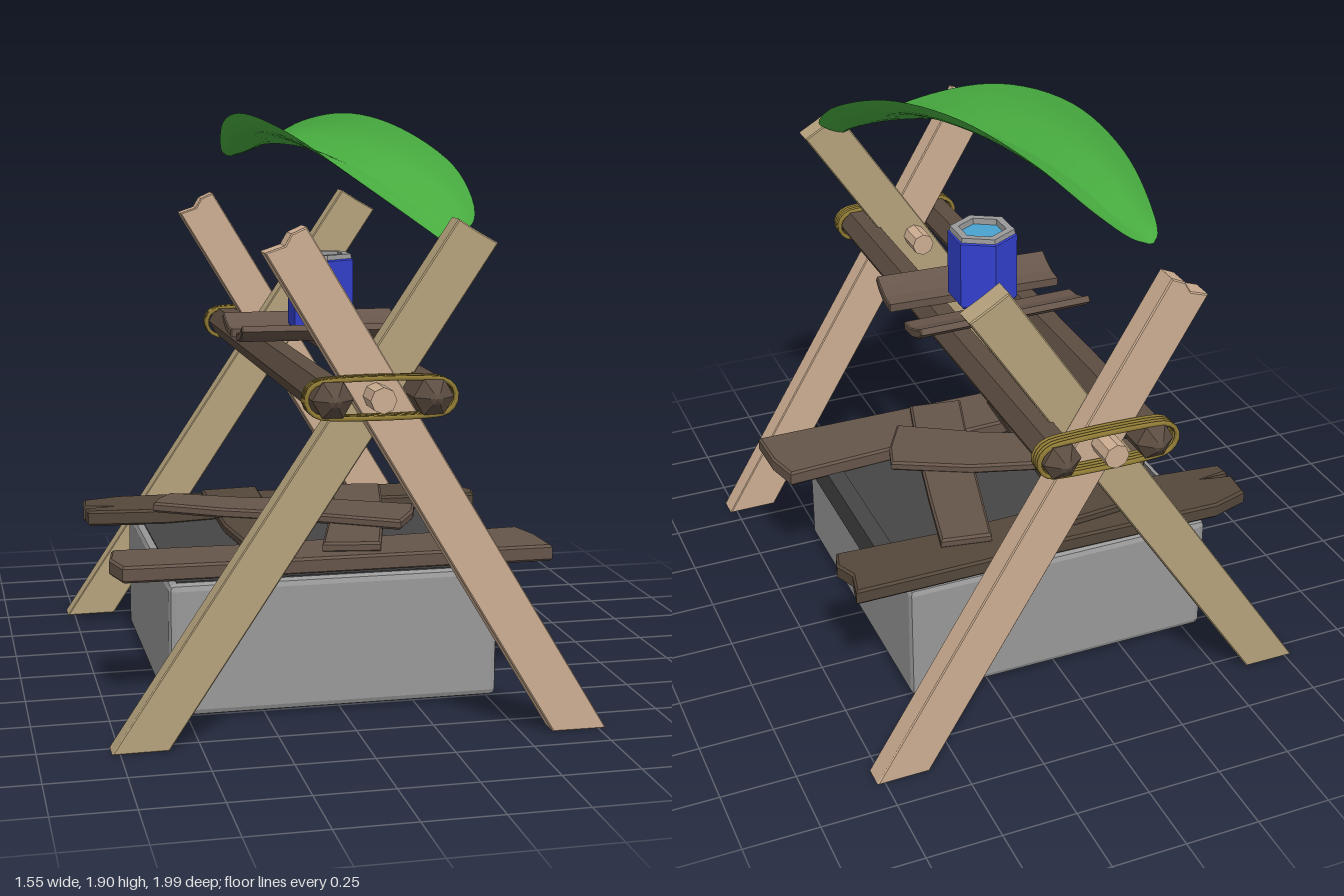
import * as THREE from 'three';
import { RoundedBoxGeometry } from 'three/addons/geometries/RoundedBoxGeometry.js';

const mat = (color, extra = {}) =>
  new THREE.MeshStandardMaterial({ color, flatShading: true, ...extra });
const paleWood = mat(0xcdae92), oliveWood = mat(0xb5a27c);
const darkWood = mat(0x54473a), brownWood = mat(0x66554a), poleWood = mat(0x5c4d41);
const stone = mat(0x999999), darkStone = mat(0x454545);
const ropeMat = mat(0x8f7a35, { flatShading: false });
const blue = mat(0x3341d0), water = mat(0x4aa3cf);
const leafMat = mat(0x48ad40, { flatShading: false, side: THREE.DoubleSide });

export function createModel() {
  const model = new THREE.Group();
  const add = (name, geometry, material, parent = model) => {
    const mesh = new THREE.Mesh(geometry, material);
    mesh.name = name;
    parent.add(mesh);
    return mesh;
  };
  const extrude = (points, depth, bevel = 0) => {
    const shape = new THREE.Shape(points.map(([x, y]) => new THREE.Vector2(x, y)));
    const g = new THREE.ExtrudeGeometry(shape, {
      depth: depth - 2 * bevel, bevelEnabled: bevel > 0, bevelThickness: bevel,
      bevelSize: bevel, bevelOffset: -bevel, bevelSegments: 1,
    });
    return g.translate(0, 0, bevel);
  };
  // flat slab from an outline in x, z
  const slab = (outline, y, height) =>
    extrude(outline.map(([x, z]) => [x, -z]), height, 0.008).rotateX(-Math.PI / 2).translate(0, y, 0);

  // stone base with dark top and side bar
  add('baseBlock', new RoundedBoxGeometry(1.085, 0.435, 1.085, 1, 0.022), stone).position.set(-0.017, 0.2275, 0);
  add('baseTop', new THREE.BoxGeometry(1.03, 0.01, 1.03), darkStone).position.set(-0.017, 0.444, 0);
  add('baseSideBar', new THREE.BoxGeometry(0.06, 0.11, 0.78), darkStone).position.set(0.52, 0.399, 0);

  // loose planks piled on the base
  add('backPlank', slab([[-0.73, -0.5], [-0.6, -0.54], [0, -0.53], [0.2, -0.545], [0.71, -0.545], [0.69, -0.45],
    [0.72, -0.38], [0.7, -0.31], [0.3, -0.33], [-0.2, -0.32], [-0.45, -0.28], [-0.73, -0.31], [-0.735, -0.365],
    [-0.63, -0.375], [-0.74, -0.39]], 0.445, 0.055), darkWood);
  add('frontPlank', slab([[-0.71, 0.26], [-0.3, 0.27], [0.2, 0.25], [0.69, 0.22], [0.72, 0.34], [0.725, 0.5],
    [0.2, 0.5], [-0.3, 0.5], [-0.7, 0.49], [-0.73, 0.38]], 0.445, 0.055), brownWood);
  add('crossPlank', slab([[-0.3, -0.45], [-0.09, -0.47], [-0.11, -0.1], [-0.14, 0.41], [-0.28, 0.4], [-0.31, 0.1]],
    0.495, 0.035), darkWood);
  add('slantedPlank', slab([[0.2, -0.45], [0.37, -0.42], [0.31, -0.15], [0.25, 0.1], [0.15, 0.46], [-0.04, 0.43],
    [0.07, 0.05]], 0.495, 0.035), brownWood);
  add('topPlank', slab([[-0.44, -0.29], [-0.2, -0.17], [0.12, -0.07], [0.37, 0.06], [0.34, 0.16], [0.26, 0.3],
    [0, 0.14], [-0.3, 0.0], [-0.52, -0.14], [-0.5, -0.2]], 0.525, 0.035), brownWood);

  // crossed legs, pegs and rope lashings at both ends
  const outer = [[0.6, 0], [0.775, 0], [-0.19, 1.595], [-0.235, 1.575], [-0.255, 1.54], [-0.315, 1.52]];
  const inner = [[-0.6, 0], [-0.775, 0], [0.295, 1.605], [0.35, 1.57], [0.42, 1.53]];
  for (const s of [1, -1]) {
    const end = new THREE.Group();
    end.name = s > 0 ? 'frontEnd' : 'backEnd';
    model.add(end);
    add('outerLeg', extrude(outer, 0.08, 0.004), paleWood, end).position.z = s * 0.85 - 0.04;
    add('innerLeg', extrude(inner, 0.08, 0.004), oliveWood, end).position.z = s * 0.77 - 0.04;
    const peg = add('peg', new THREE.CylinderGeometry(0.04, 0.04, 0.355, 8), paleWood, end);
    peg.rotation.x = Math.PI / 2;
    peg.position.set(0.02, 1.09, s * 0.81);
    for (let i = 0; i < 4; i++) {
      const pts = [];
      for (let k = 0; k < 16; k++) {
        const a = (k + 0.5) / 16 * Math.PI * 2 - Math.PI / 2;
        const cx = k < 8 ? 0.195 : -0.145;
        pts.push(new THREE.Vector3(cx + Math.cos(a) * 0.058, 1.09 + Math.sin(a) * 0.054,
          s * (0.9 + i * 0.014) + (k < 8 ? 0.003 : -0.003)));
      }
      const path = new THREE.CatmullRomCurve3(pts, true, 'centripetal');
      add('ropeLoop', new THREE.TubeGeometry(path, 48, 0.008, 6, true), ropeMat, end);
    }
  }

  // hexagonal poles with pointed ends
  for (const x of [-0.125, 0.182]) {
    const profile = [[0, -0.995], [0.02, -0.985], [0.062, -0.95], [0.062, 0.95], [0.02, 0.985], [0, 0.995]];
    const g = new THREE.LatheGeometry(profile.map(([r, y]) => new THREE.Vector2(r, y)), 6);
    add('pole', g.rotateY(Math.PI / 2).rotateX(Math.PI / 2), poleWood).position.set(x, 1.09, 0);
    // lathe corner points along x, flats face up
  }

  // curved shelf boards across the poles
  const board = [[-0.075, 0], [0, 0.006], [0.05, 0.025], [0.08, 0.05], [0.068, 0.068], [0.03, 0.048],
    [-0.02, 0.032], [-0.075, 0.028]];
  const shelf = (flip, z, turn) => {
    const pts = board.map(([pz, py]) => [-pz * flip, py]);
    const mesh = add('shelfBoard', extrude(pts, 0.61, 0.004).translate(0, 0, -0.305).rotateY(Math.PI / 2), brownWood);
    mesh.position.set(0.05, 1.146, z);
    mesh.rotation.y = turn;
  };
  shelf(1, 0.122, -0.05);
  shelf(-1, -0.142, 0.02);

  // hexagonal cup with water
  const cup = new THREE.Group();
  cup.name = 'cup';
  cup.position.set(0.05, 1.175, -0.01);
  model.add(cup);
  const lathe = (pts) => new THREE.LatheGeometry(pts.map(([r, y]) => new THREE.Vector2(r, y)), 6);
  add('cupBody', lathe([[0, 0], [0.105, 0], [0.117, 0.015], [0.117, 0.24], [0.11, 0.245]]), blue, cup);
  add('cupRim', lathe([[0.112, 0.24], [0.108, 0.26], [0.08, 0.26], [0.076, 0.22]]), stone, cup);
  const surface = new THREE.CircleGeometry(0.085, 6).rotateX(-Math.PI / 2).rotateY(Math.PI / 2);
  add('water', surface, water, cup).position.y = 0.24;

  // trough-shaped leaf roof: z, left x, right x, edge y, midrib y
  const sections = [
    [0.74, 0.255, 0.3, 1.54, 1.53], [0.7, 0.19, 0.375, 1.59, 1.555], [0.5, 0.03, 0.388, 1.725, 1.65],
    [0.2, -0.1, 0.305, 1.845, 1.745], [-0.2, -0.18, 0.2, 1.903, 1.79], [-0.55, -0.19, 0.1, 1.87, 1.785],
    [-0.78, -0.165, 0.015, 1.795, 1.75], [-0.88, -0.14, -0.055, 1.745, 1.735], [-0.905, -0.115, -0.1, 1.73, 1.73],
  ];
  const left = new THREE.CatmullRomCurve3(sections.map(([z, l, , y]) => new THREE.Vector3(l, y, z)));
  const right = new THREE.CatmullRomCurve3(sections.map(([z, , r, y]) => new THREE.Vector3(r, y, z)));
  const mid = new THREE.CatmullRomCurve3(sections.map(([z, l, r, , y]) => new THREE.Vector3((l + r) / 2, y, z)));
  const leaf = new THREE.PlaneGeometry(1, 1, 16, 48);
  const pos = leaf.attributes.position;
  for (let i = 0; i < pos.count; i++) {
    const u = pos.getX(i) * 2, t = pos.getY(i) + 0.5;
    const m = mid.getPoint(t), e = (u < 0 ? left : right).getPoint(t);
    const a = Math.abs(u), rise = Math.pow(a, 1.6) + 0.06 * Math.sin(a * Math.PI * 2);
    pos.setXYZ(i, m.x + (e.x - m.x) * a, m.y + (e.y - m.y) * rise, m.z + (e.z - m.z) * a);
  }
  leaf.computeVertexNormals();
  add('leafRoof', leaf, leafMat);

  return model;
}
